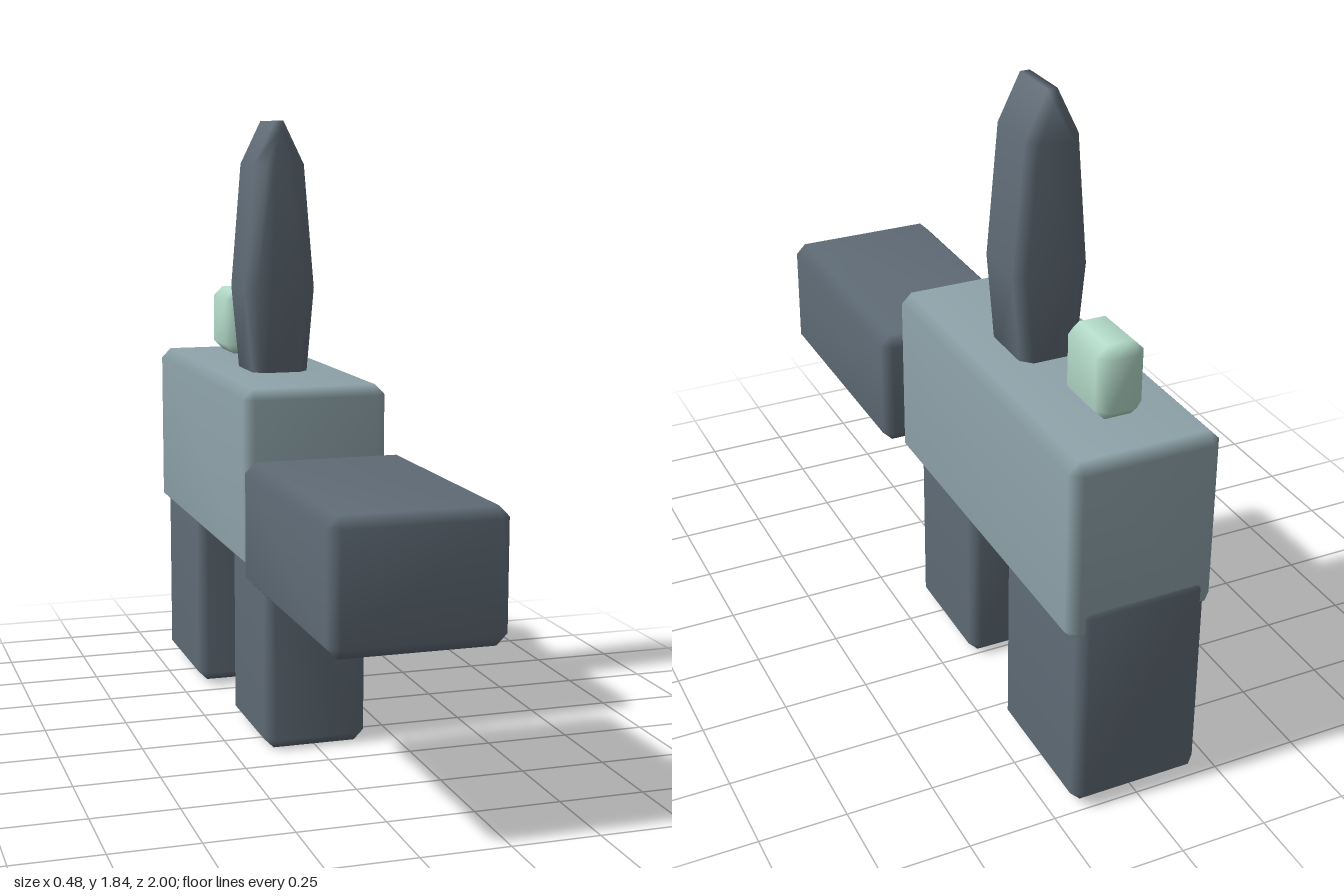
import * as THREE from 'three';
import { ConvexGeometry } from 'three/addons/geometries/ConvexGeometry.js';
import { mergeVertices } from 'three/addons/utils/BufferGeometryUtils.js';

const signs = [-1, 1];

// Convex hull of the points with smoothed normals, for softly bevelled blocks.
function softHull(points) {
  const hull = new ConvexGeometry(points);
  hull.deleteAttribute('normal');
  const geometry = mergeVertices(hull, 1e-4);
  geometry.computeVertexNormals();
  return geometry;
}

// Box between two corners, centred on x, with single chamfers on all edges.
function chamferedBox(halfWidth, y0, y1, z0, z1, c = 0.03) {
  const hy = (y1 - y0) / 2, hz = (z1 - z0) / 2;
  const points = [];
  for (const x of signs) for (const y of signs) for (const z of signs) {
    points.push(
      new THREE.Vector3(x * halfWidth, y * (hy - c), z * (hz - c)),
      new THREE.Vector3(x * (halfWidth - c), y * hy, z * (hz - c)),
      new THREE.Vector3(x * (halfWidth - c), y * (hy - c), z * hz));
  }
  return softHull(points).translate(0, (y0 + y1) / 2, (z0 + z1) / 2);
}

// Tapered upright fin: [half width, y, half depth] for side and face outlines.
function finGeometry() {
  const outline = [
    [0.08, 1.0, 0.08], [0.11, 1.33, 0.08], [0.078, 1.705, 0.08], [0.014, 1.835, 0.08],
    [0.05, 1.0, 0.11], [0.08, 1.33, 0.11], [0.05, 1.695, 0.11], [0.008, 1.8, 0.11],
  ];
  const points = [];
  for (const [x, y, z] of outline) for (const sx of signs) for (const sz of signs) {
    points.push(new THREE.Vector3(sx * x, y, sz * z));
  }
  return softHull(points).translate(0, 0, -0.34);
}

export function createModel() {
  const material = (name, color) => {
    const m = new THREE.MeshStandardMaterial({ color });
    m.name = name;
    return m;
  };
  const dark = material('dark slate', 0x5f6b76);
  const grey = material('blue grey', 0x8ea3aa);
  const mint = material('pale mint', 0xb5dccb);

  const group = new THREE.Group();
  const add = (name, geometry, mat) => {
    const mesh = new THREE.Mesh(geometry, mat);
    mesh.name = name;
    group.add(mesh);
  };

  add('body', chamferedBox(0.215, 0.545, 1.075, -0.99, 0.13), grey);
  add('frontBlock', chamferedBox(0.24, 0.525, 0.885, 0.19, 1.0), dark);
  add('frontGrip', chamferedBox(0.155, 0.0, 0.64, -0.26, 0.13), dark);
  add('rearGrip', chamferedBox(0.19, 0.012, 0.65, -1.0, -0.55), dark);
  add('topFin', finGeometry(), dark);
  add('rearSight', chamferedBox(0.068, 1.085, 1.295, -0.845, -0.635), mint);
  return group;
}
